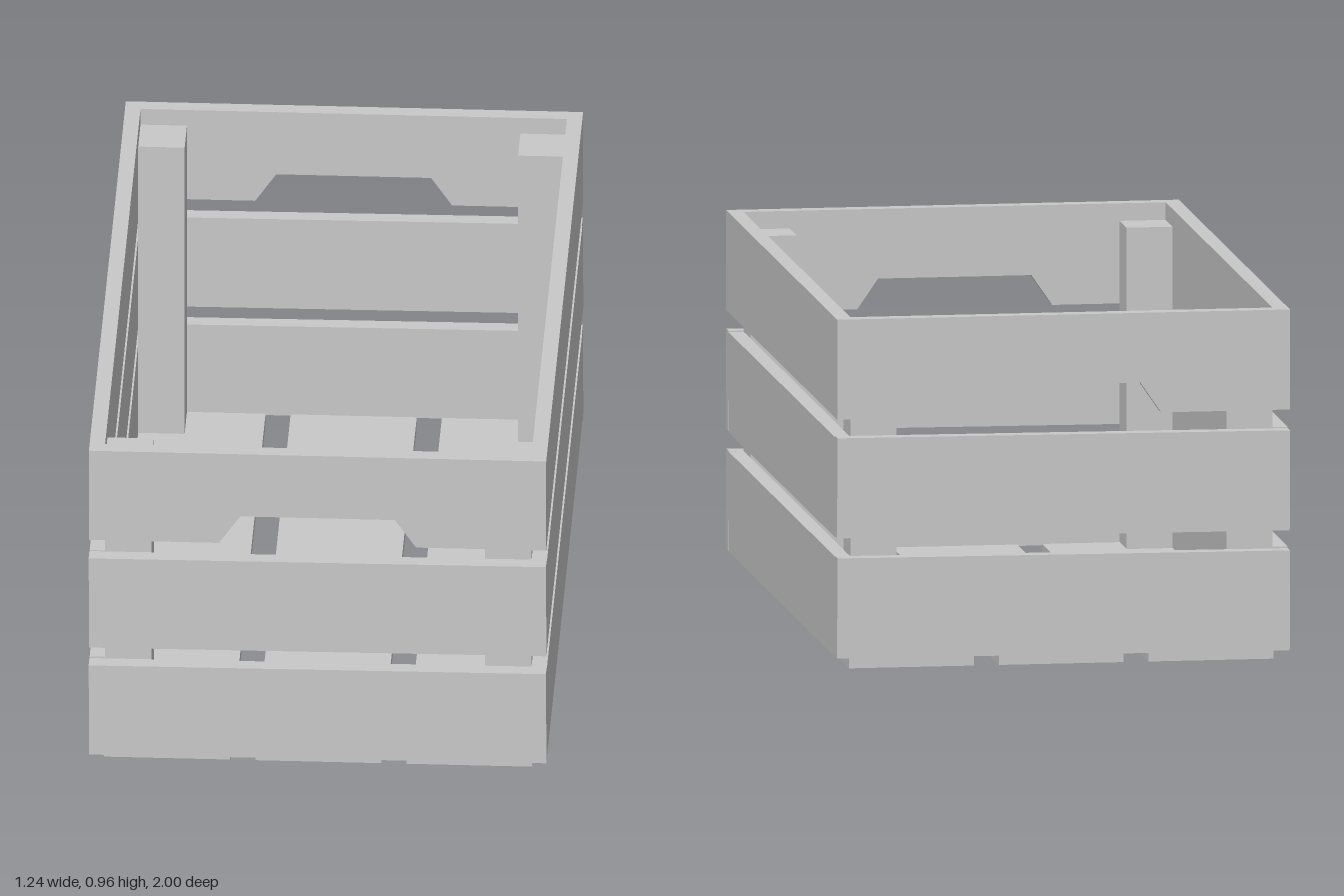
import * as THREE from 'three';

export function createModel() {
  const crate = new THREE.Group();
  crate.name = 'slattedCrate';
  const wood = new THREE.MeshStandardMaterial({ color: 0xc8c8c8 });
  wood.name = 'paleGreyWood';

  const W = 0.62, L = 1, T = 0.042; // half width, half length, board thickness
  const boardH = 0.274;

  function add(name, geometry, x, y, z) {
    const mesh = new THREE.Mesh(geometry, wood);
    mesh.name = name;
    mesh.position.set(x, y, z);
    crate.add(mesh);
    return mesh;
  }

  // Floor boards
  for (const x of [-0.41, 0, 0.41]) {
    add('floorBoard', new THREE.BoxGeometry(0.342, 0.034, 2 * (L - T)), x, 0.017, 0);
  }

  // Corner posts, stopping just below the rim
  for (const sx of [-1, 1]) for (const sz of [-1, 1]) {
    add('cornerPost', new THREE.BoxGeometry(0.126, 0.88, 0.126),
      sx * (W - T - 0.063), 0.034 + 0.44, sz * (L - T - 0.063));
  }

  // Long side boards, fitted between the end boards
  for (const y of [0.17, 0.497, 0.825]) for (const s of [-1, 1]) {
    add('sideBoard', new THREE.BoxGeometry(T, boardH, 2 * (L - T)), s * (W - T / 2), y, 0);
  }

  // Lower end boards, nailed on very slightly askew
  for (const y of [0.168, 0.497]) for (const s of [-1, 1]) {
    add('endBoard', new THREE.BoxGeometry(2 * W, boardH, T), 0, y, s * (L - T / 2))
      .rotation.z = 0.005;
  }

  // Top end boards with a trapezoid hand hold cut from the lower edge
  const handle = new THREE.Shape([
    [-W, 0], [-0.267, 0], [-0.21, 0.083], [0.21, 0.083], [0.267, 0],
    [W, 0], [W, boardH], [-W, boardH],
  ].map(([x, y]) => new THREE.Vector2(x, y)));
  const handleGeometry = new THREE.ExtrudeGeometry(handle, { depth: T, bevelEnabled: false });
  add('frontHandleBoard', handleGeometry, 0, 0.688, L - T);
  add('backHandleBoard', handleGeometry, 0, 0.688, -L);

  return crate;
}
